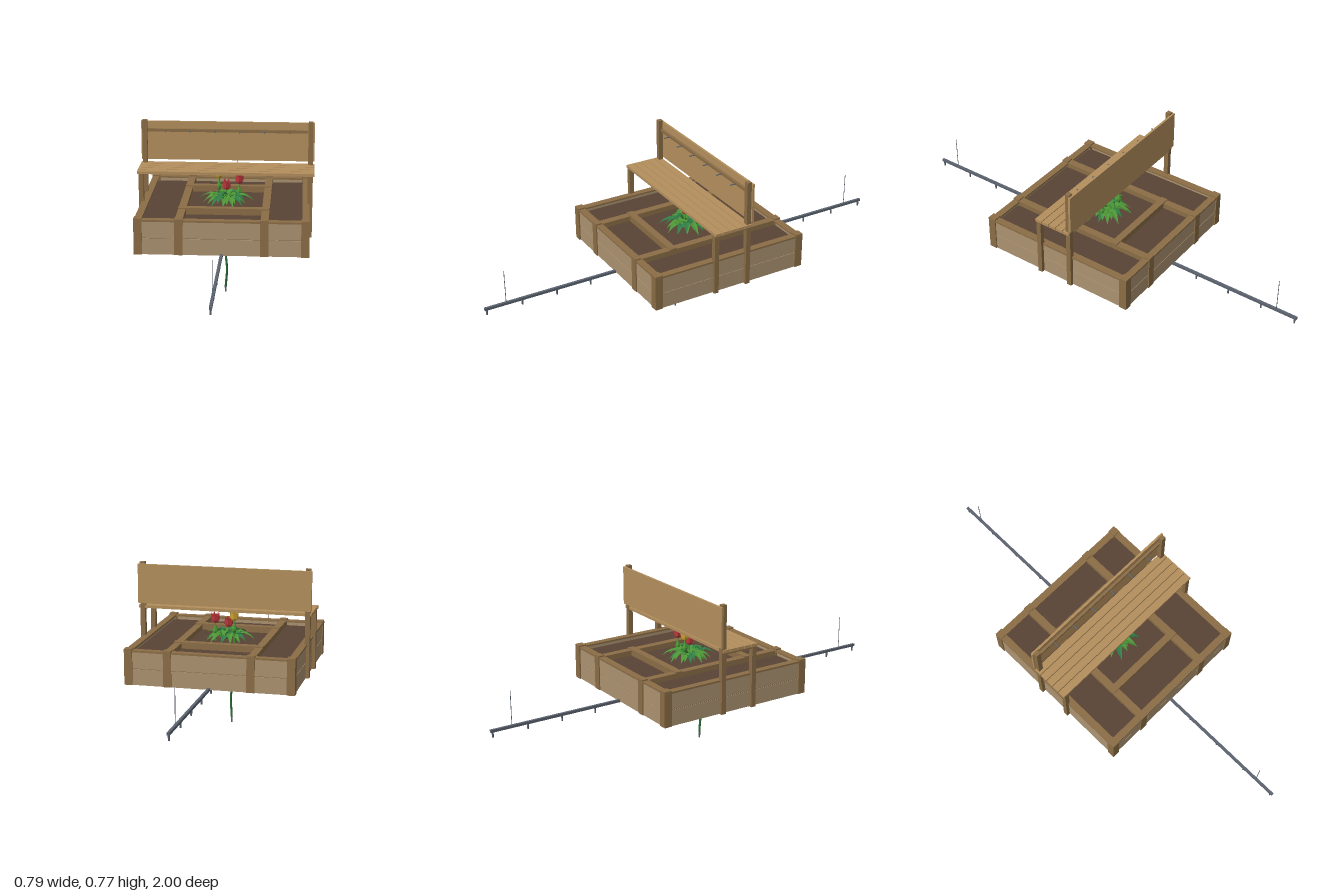
import * as THREE from 'three';

const mat = (name, color, opts = {}) => {
  const m = new THREE.MeshStandardMaterial({ color, flatShading: true, ...opts });
  m.name = name;
  return m;
};

export function createModel() {
  const root = new THREE.Group();
  root.name = 'planterBench';
  const D = { side: THREE.DoubleSide };
  const plank = mat('paleWood', 0xab9270), trim = mat('darkWood', 0x8a6d46), bench = mat('benchWood', 0xb48f5d);
  const soil = mat('soil', 0x594436), metal = mat('greyMetal', 0x5c6470, D), hoseGreen = mat('hoseGreen', 0x2c6a35);
  const leafGreen = mat('leafGreen', 0x4c9636, D), deepGreen = mat('deepGreen', 0x2f7d45, D);
  const red = mat('redPetal', 0xb9353a, D), yellow = mat('yellowPetal', 0xc9a030, D);

  const group = (name) => {
    const g = new THREE.Group();
    g.name = name;
    root.add(g);
    return g;
  };
  const add = (parent, name, geo, material, x = 0, y = 0, z = 0) => {
    const m = new THREE.Mesh(geo, material);
    m.name = name;
    m.position.set(x, y, z);
    parent.add(m);
    return m;
  };
  // Box given by its minimum and maximum corners
  const box = (parent, name, material, x0, x1, y0, y1, z0, z1) =>
    add(parent, name, new THREE.BoxGeometry(x1 - x0, y1 - y0, z1 - z0), material,
      (x0 + x1) / 2, (y0 + y1) / 2, (z0 + z1) / 2);

  // Raised bed: soil, two boards per side, rim and posts
  const bed = group('raisedBed');
  box(bed, 'soil', soil, -0.355, 0.355, 0.282, 0.41, -0.35, 0.35);
  for (const s of [-1, 1]) {
    for (const [y0, y1] of [[0.278, 0.35], [0.353, 0.428]]) {
      add(bed, 'endBoard', new THREE.BoxGeometry(0.74, y1 - y0, 0.018), plank, 0, (y0 + y1) / 2, s * 0.362);
      add(bed, 'sideBoard', new THREE.BoxGeometry(0.018, y1 - y0, 0.72), plank, s * 0.365, (y0 + y1) / 2, 0);
    }
    add(bed, 'endSeam', new THREE.BoxGeometry(0.72, 0.01, 0.012), trim, 0, 0.3515, s * 0.362);
    add(bed, 'sideSeam', new THREE.BoxGeometry(0.012, 0.01, 0.7), trim, s * 0.365, 0.3515, 0);
    add(bed, 'endRim', new THREE.BoxGeometry(0.76, 0.008, 0.032), trim, 0, 0.43, s * 0.358);
    add(bed, 'sideRim', new THREE.BoxGeometry(0.032, 0.008, 0.74), trim, s * 0.362, 0.43, 0);
    add(bed, 'longDivider', new THREE.BoxGeometry(0.034, 0.032, 0.72), trim, s * 0.185, 0.418, 0);
    add(bed, 'crossDivider', new THREE.BoxGeometry(0.404, 0.034, 0.032), trim, 0, 0.422, s * 0.185);
    for (const t of [-1, 1]) {
      add(bed, 'cornerPost', new THREE.BoxGeometry(0.036, 0.162, 0.036), trim, s * 0.361, 0.359, t * 0.359);
      add(bed, 'endPost', new THREE.BoxGeometry(0.036, 0.162, 0.03), trim, s * 0.185, 0.359, t * 0.361);
    }
  }

  // Bench across the bed
  const seat = group('bench');
  for (const s of [-1, 1]) {
    add(seat, 'frontLeg', new THREE.BoxGeometry(0.022, 0.282, 0.022), trim, s * 0.379, 0.419, 0.08);
    add(seat, 'backLeg', new THREE.BoxGeometry(0.022, 0.494, 0.022), trim, s * 0.379, 0.525, -0.08);
    add(seat, 'seatBearer', new THREE.BoxGeometry(0.018, 0.012, 0.14), trim, s * 0.379, 0.556, 0);
  }
  for (let i = 0; i < 5; i++) {
    const z = -0.073 + i * 0.0368;
    add(seat, 'seatSlat', new THREE.BoxGeometry(0.794, 0.013, 0.0335), bench, 0, 0.567, z);
  }
  box(seat, 'backrest', bench, -0.397, 0.397, 0.584, 0.764, -0.1, -0.09);
  box(seat, 'hookRail', trim, -0.366, 0.366, 0.717, 0.73, -0.09, -0.078);
  for (let i = 0; i < 6; i++) {
    const x = -0.2825 + i * 0.113;
    const peg = add(seat, 'hook', new THREE.CylinderGeometry(0.003, 0.003, 0.028, 6), metal, x, 0.723, -0.064);
    peg.rotation.x = Math.PI / 2;
  }

  // Long water pipe with drip nozzles and end stakes
  const pipe = group('waterPipe');
  box(pipe, 'pipe', metal, -0.006, 0.006, 0.274, 0.286, -1, 1);
  for (let i = 0; i < 13; i++) {
    const z = -0.99 + i * 0.165;
    add(pipe, 'nozzle', new THREE.CylinderGeometry(0.005, 0.004, 0.024, 6), metal, 0, 0.262, z);
  }
  for (const s of [-1, 1])
    add(pipe, 'stake', new THREE.CylinderGeometry(0.0015, 0.0015, 0.16, 5), metal, 0, 0.36, s * 0.9);

  // Hose reel: wall plate, two spoked flanges and a tapering coil below the bed
  const reel = group('hoseReel');
  const cy = 0.279;
  box(reel, 'wallPlate', metal, -0.069, 0.069, 0.195, 0.277, 0, 0.006);
  const halfRing = (inner, outer) => {
    const s = new THREE.Shape();
    const n = 6;
    for (let i = 0; i <= n; i++) {
      const a = Math.PI + (i / n) * Math.PI;
      s[i ? 'lineTo' : 'moveTo'](Math.cos(a) * outer, Math.sin(a) * outer);
    }
    for (let i = n; i >= 0; i--) {
      const a = Math.PI + (i / n) * Math.PI;
      s.lineTo(Math.cos(a) * inner, Math.sin(a) * inner);
    }
    return new THREE.ExtrudeGeometry(s, { depth: 0.004, bevelEnabled: false });
  };
  for (const z of [0.03, 0.098]) {
    add(reel, 'flange', halfRing(0.069, 0.082), metal, 0, cy, z);
    for (const a of [-0.96, -Math.PI + 0.96]) {
      const spoke = add(reel, 'spoke', new THREE.BoxGeometry(0.072, 0.007, 0.004), metal,
        Math.cos(a) * 0.038, cy + Math.sin(a) * 0.038, z + 0.002);
      spoke.rotation.z = a;
    }
  }
  const axle = add(reel, 'axle', new THREE.CylinderGeometry(0.008, 0.008, 0.1, 8), metal, 0, cy, 0.053);
  axle.rotation.x = Math.PI / 2;
  for (let i = 0; i < 8; i++) {
    const coil = add(reel, 'hoseCoil', new THREE.TorusGeometry(0.026 + i * 0.0058, 0.0042, 6, 14, Math.PI),
      i % 2 ? hoseGreen : leafGreen, 0, cy, 0.04 + i * 0.0078);
    coil.rotation.z = Math.PI;
  }

  // Hanging hose with a metal tip
  const hosePath = new THREE.CatmullRomCurve3([[0, 0.188, 0.068], [0.004, 0.15, 0.074], [0.007, 0.11, 0.074],
    [0.003, 0.06, 0.066], [0, 0.025, 0.062]].map((p) => new THREE.Vector3(...p)));
  add(reel, 'hangingHose', new THREE.TubeGeometry(hosePath, 12, 0.005, 6), hoseGreen);
  add(reel, 'hoseTip', new THREE.CylinderGeometry(0.005, 0.0035, 0.028, 8), metal, 0, 0.014, 0.062);

  // Arching leaf: a folded strip running along +x
  const leaf = (length, height, width, drop) => {
    const n = 5, pos = [], idx = [];
    for (let i = 0; i <= n; i++) {
      const t = i / n;
      const w = width * Math.sin(Math.PI * (0.12 + 0.88 * t));
      const x = length * t;
      const y = height * Math.sin(Math.PI * Math.min(1, t * 0.85)) - drop * t * t;
      pos.push(x, y + w * 0.3, -w, x, y, 0, x, y + w * 0.3, w);
      if (i < n) for (const k of [0, 1]) {
        const a = i * 3 + k;
        idx.push(a, a + 1, a + 3, a + 1, a + 4, a + 3);
      }
    }
    const g = new THREE.BufferGeometry();
    g.setAttribute('position', new THREE.Float32BufferAttribute(pos, 3));
    g.setIndex(idx);
    g.computeVertexNormals();
    return g;
  };
  const foliage = group('foliage');
  for (const [count, length, height, width] of [[16, 0.13, 0.04, 0.016], [13, 0.1, 0.045, 0.018], [9, 0.06, 0.055, 0.018]]) {
    for (let i = 0; i < count; i++) {
      const k = 0.88 + 0.12 * Math.sin(i * 2.4 + count);
      const blade = add(foliage, 'leaf', leaf(length * k, height * k, width, 0.008),
        i % 3 === 2 ? deepGreen : leafGreen, 0, 0.411, 0);
      blade.rotation.y = (i / count) * Math.PI * 2 + count;
    }
  }

  // Tulips: stem, leafy whorl and six pointed petals
  const flowers = group('tulips');
  const profile = (pts) => pts.map(([x, y]) => new THREE.Vector2(x, y));
  const tulip = (x, z, top, h, r, material) => {
    const base = top - h;
    add(flowers, 'stem', new THREE.CylinderGeometry(0.0035, 0.005, base - 0.405, 6), leafGreen, x, (base + 0.405) / 2, z);
    if (base > 0.48) add(flowers, 'stemWhorl', new THREE.LatheGeometry(
      profile([[0.004, -0.02], [0.011, -0.008], [0.012, 0.002], [0.003, 0.026]]), 6), leafGreen, x, base - 0.035, z);
    add(flowers, 'bloomCup', new THREE.LatheGeometry(
      profile([[0.001, 0], [r * 0.65, h * 0.12], [r * 0.92, h * 0.4], [r * 0.85, h * 0.7]]), 6), material, x, base, z);
    for (let i = 0; i < 6; i++) {
      const s = new THREE.Shape();
      s.moveTo(-r * 0.38, 0);
      s.lineTo(-r * 0.5, h * 0.3);
      s.lineTo(0, h * 0.7);
      s.lineTo(r * 0.5, h * 0.3);
      s.lineTo(r * 0.38, 0);
      const pivot = new THREE.Group();
      pivot.name = 'petal';
      pivot.position.set(x, base + h * 0.3, z);
      pivot.rotation.y = (i / 6) * Math.PI * 2 + 0.52;
      flowers.add(pivot);
      add(pivot, 'petalBlade', new THREE.ShapeGeometry(s), material, 0, 0, r * 0.84);
    }
  };
  tulip(-0.037, -0.045, 0.56, 0.05, 0.021, yellow);
  tulip(0, 0.005, 0.519, 0.05, 0.021, red);
  tulip(0.057, -0.02, 0.541, 0.05, 0.021, red);

  return root;
}
